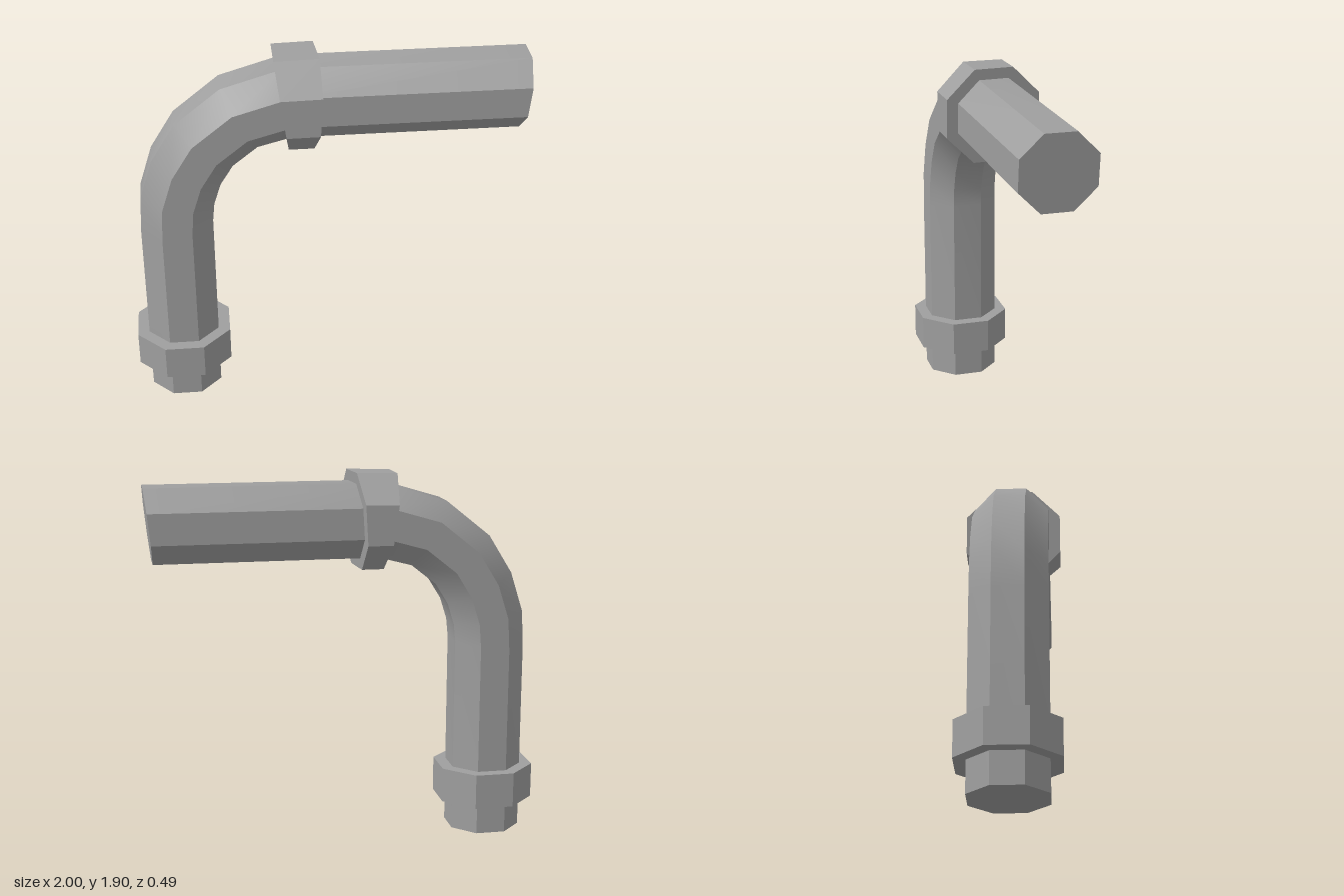
import * as THREE from 'three';
import { toCreasedNormals } from 'three/addons/utils/BufferGeometryUtils.js';

const SIDES = 8;

// Octagonal solid through stations [outerX, outerY, innerX, innerY, skew], halfDepth wide in z;
// skew turns a station about its upright axis (x offset per unit of z)
function octagonSweep(stations, halfDepth) {
  const positions = [], index = [];
  const scale = 1 / Math.cos(Math.PI / SIDES);
  for (const [ox, oy, ix, iy, skew = 0] of stations) {
    for (let i = 0; i < SIDES; i++) {
      const a = ((i + 0.5) / SIDES) * Math.PI * 2;
      const u = Math.cos(a) * scale / 2;
      const z = Math.sin(a) * scale * halfDepth;
      positions.push((ox + ix) / 2 + (ox - ix) * u + skew * z, (oy + iy) / 2 + (oy - iy) * u, z);
    }
  }
  // Side walls
  for (let s = 0; s < stations.length - 1; s++) {
    for (let i = 0; i < SIDES; i++) {
      const a = s * SIDES + i, b = s * SIDES + (i + 1) % SIDES;
      index.push(a, b, a + SIDES, b, b + SIDES, a + SIDES);
    }
  }
  // End caps
  const last = (stations.length - 1) * SIDES;
  for (let i = 1; i < SIDES - 1; i++) {
    index.push(0, i + 1, i, last, last + i, last + i + 1);
  }
  const geometry = new THREE.BufferGeometry();
  geometry.setAttribute('position', new THREE.Float32BufferAttribute(positions, 3));
  geometry.setIndex(index);
  // Smooth along the bend, sharp between the eight sides
  return toCreasedNormals(geometry, Math.PI / 6);
}

export function createModel() {
  const group = new THREE.Group();
  group.name = 'bentPipe';
  const material = new THREE.MeshStandardMaterial({ color: 0x9f9f9f });
  const add = (name, stations, halfDepth) => {
    const mesh = new THREE.Mesh(octagonSweep(stations, halfDepth), material);
    mesh.name = name;
    group.add(mesh);
  };

  // Upright, elbow and horizontal run
  add('pipe', [
    [-0.94, 0, -0.575, 0],
    [-0.94, 0.97, -0.575, 1.02],
    [-0.93, 1.17, -0.565, 1.115],
    [-0.865, 1.375, -0.53, 1.225],
    [-0.745, 1.57, -0.465, 1.33],
    [-0.515, 1.755, -0.34, 1.43],
    [-0.2, 1.85, -0.17, 1.475],
    [1.0, 1.85, 0.963, 1.475],
  ], 0.186);

  // Collar around the foot of the upright
  add('lowerCollar', [
    [-1.0, 0.16, -0.515, 0.16],
    [-1.0, 0.342, -0.515, 0.342],
  ], 0.244);

  // Wedge-shaped collar where the elbow meets the horizontal run, its far face slightly askew
  add('upperCollar', [
    [-0.255, 1.9, -0.188, 1.42],
    [-0.042, 1.905, -0.069, 1.42, 0.075],
  ], 0.244);

  return group;
}
